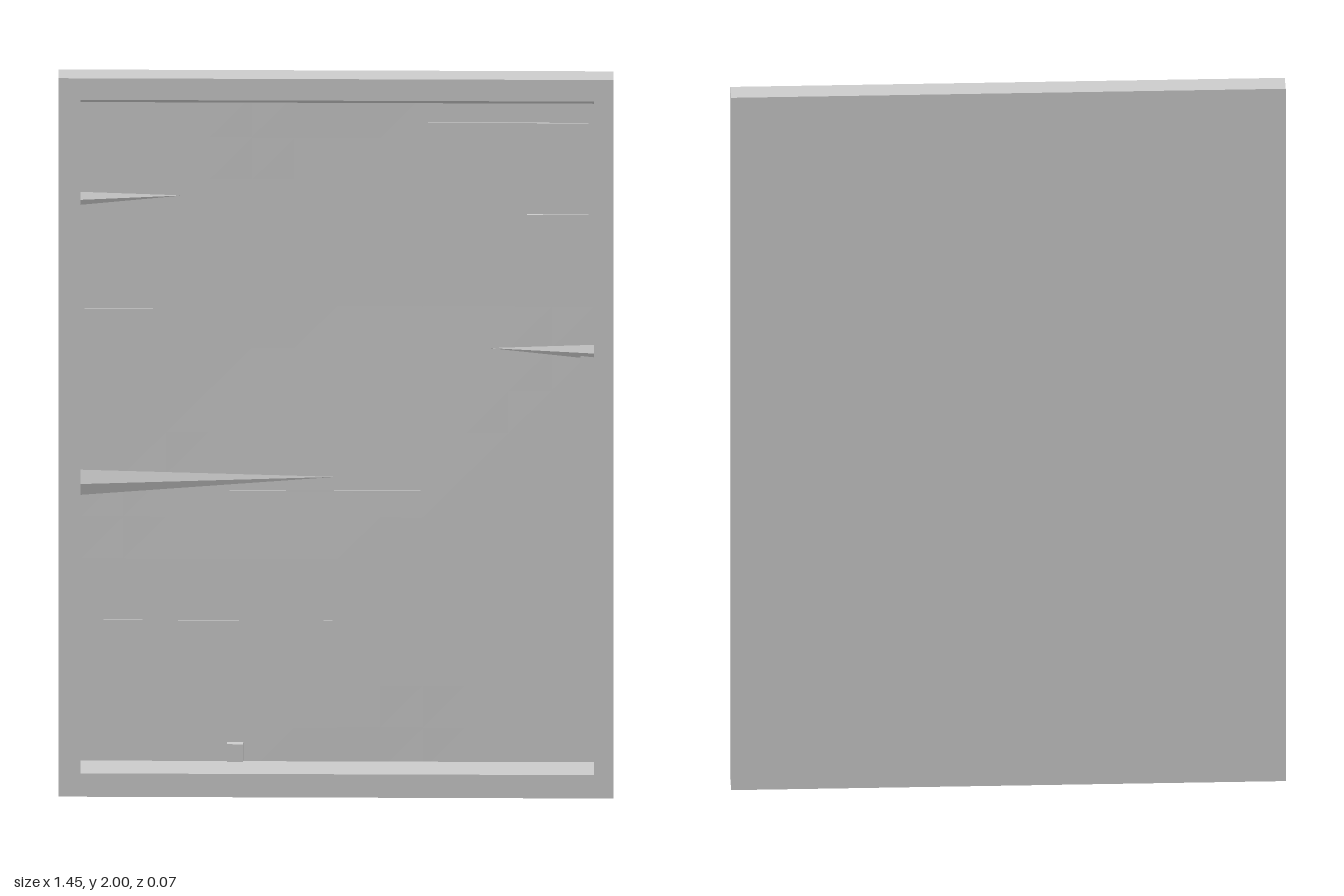
import * as THREE from 'three';

const material = new THREE.MeshStandardMaterial({ color: 0xcccccc, flatShading: true, side: THREE.DoubleSide });
const X0 = -0.67, X1 = 0.675, Y0 = 0.065, Y1 = 1.94; // opening of the frame
const FRONT = 0.033, BACK = -0.035, PANEL = -0.005;

function add(group, name, geometry, x = 0, y = 0, z = 0) {
  const mesh = new THREE.Mesh(geometry, material);
  mesh.name = name;
  mesh.position.set(x, y, z);
  group.add(mesh);
}

function rectangle(PathType, x0, x1, y0, y1) {
  const path = new PathType();
  path.moveTo(x0, y0).lineTo(x1, y0).lineTo(x1, y1).lineTo(x0, y1).closePath();
  return path;
}

// Prism running along x with a (z, y) cross-section
function railProfile(points, length) {
  const shape = new THREE.Shape(points.map(([z, y]) => new THREE.Vector2(-z, y)));
  const geometry = new THREE.ExtrudeGeometry(shape, { depth: length, bevelEnabled: false });
  return geometry.rotateY(Math.PI / 2);
}

// Shallow crease: a triangular ridge that tapers to nothing at x1
function crease(x0, x1, y, height, depth) {
  const geometry = new THREE.BufferGeometry();
  const ring = [[x0, y + height / 2, 0], [x0, y - height / 2, depth], [x0, y - height * 1.5, 0], [x1, y, 0]];
  geometry.setAttribute('position', new THREE.Float32BufferAttribute(ring.flat(), 3));
  geometry.setIndex(x1 > x0 ? [0, 1, 3, 1, 2, 3] : [0, 3, 1, 1, 3, 2]);
  geometry.computeVertexNormals();
  return geometry;
}

export function createModel() {
  const model = new THREE.Group();
  model.name = 'framedPanel';

  // Frame around the opening
  const outline = rectangle(THREE.Shape, -0.728, 0.726, 0, 2);
  outline.holes.push(rectangle(THREE.Path, X0, X1, Y0, Y1));
  add(model, 'frame', new THREE.ExtrudeGeometry(outline, { depth: FRONT - BACK, bevelEnabled: false }), 0, 0, BACK);

  // Recessed panel, bowed very slightly below the middle
  const panel = new THREE.BoxGeometry(X1 - X0, Y1 - Y0, PANEL - BACK, 12, 16, 1);
  const p = panel.attributes.position;
  for (let i = 0; i < p.count; i++) {
    if (p.getZ(i) < 0) continue;
    const u = p.getX(i) / (X1 - X0) + 0.5, v = p.getY(i) / (Y1 - Y0) + 0.5;
    p.setZ(i, p.getZ(i) + 0.003 * Math.sin(Math.PI * u) * Math.sin(2 * Math.PI * v));
  }
  panel.computeVertexNormals();
  add(model, 'panel', panel, (X0 + X1) / 2, (Y0 + Y1) / 2, (PANEL + BACK) / 2);

  // Sloping lips along the top and bottom of the opening
  const lips = { bottomLip: [Y0, 0.09], topLip: [Y1, 1.918] };
  for (const [name, [edge, inner]] of Object.entries(lips)) {
    add(model, name, railProfile([[0.028, edge], [PANEL - 0.004, inner], [PANEL - 0.004, edge]], X1 - X0), X0);
  }

  // Thin strip beside the lower right edge
  add(model, 'edgeStrip', new THREE.BoxGeometry(0.035, 1.14, 0.008), 0.657, 0.66, PANEL + 0.002);

  // Creases in the panel: start x, tip x, y, height, depth
  const creases = [
    [X0, 0, 0.88, 0.035, 0.014],
    [X0, -0.4, 1.662, 0.018, 0.012],
    [X1, 0.4, 1.24, 0.02, 0.012],
  ];
  for (const [x0, x1, y, h, d] of creases) add(model, 'crease', crease(x0, x1, y, h, d), 0, 0, PANEL + 0.002);

  // Fine horizontal seams: centre x, y, length
  const seams = [[-0.03, 0.84, 0.5], [-0.31, 0.478, 0.6], [0.45, 1.865, 0.42], [0.58, 1.61, 0.16], [-0.57, 1.345, 0.18]];
  for (const [x, y, length] of seams) {
    add(model, 'seam', new THREE.BoxGeometry(length, 0.004, 0.006), x, y, PANEL + 0.001);
  }

  // Small catch standing on the bottom lip
  add(model, 'catch', new THREE.BoxGeometry(0.042, 0.05, 0.018), -0.265, 0.115, PANEL + 0.008);

  return model;
}
